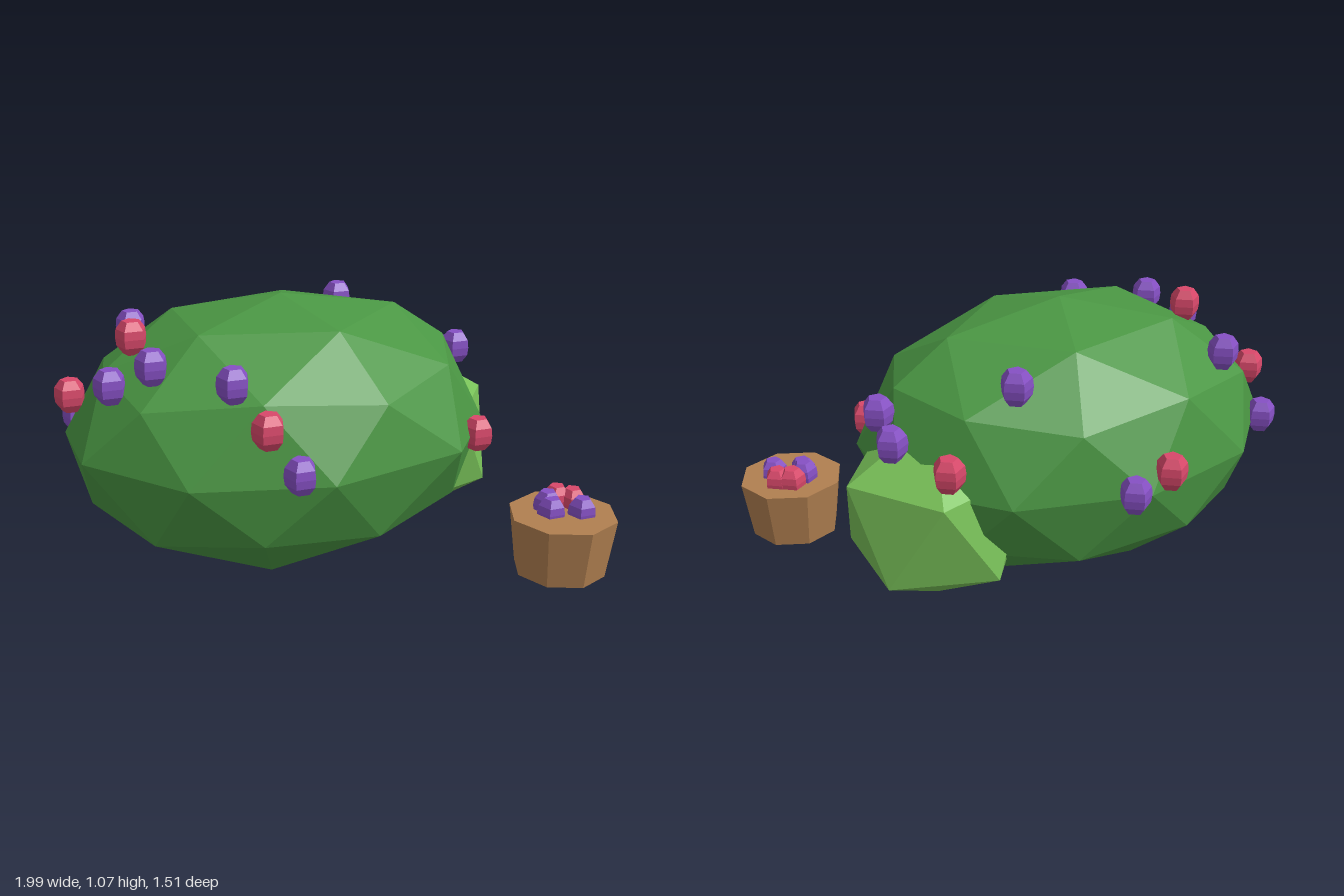
import * as THREE from 'three';

const mat = (name, color) => {
  const m = new THREE.MeshStandardMaterial({ color });
  m.name = name;
  return m;
};

// Faceted normals, one per face
function facet(geometry) {
  const g = geometry.index ? geometry.toNonIndexed() : geometry;
  g.computeVertexNormals();
  return g;
}

// Icosphere standing on a vertex, with an upper-ring vertex towards +x
function icoBlob(detail, radii, centre) {
  const g = new THREE.IcosahedronGeometry(1, detail);
  g.rotateX(-Math.atan2(1 + Math.sqrt(5), 2));
  g.rotateY(Math.PI / 2);
  g.scale(...radii);
  g.translate(...centre);
  return g;
}

// Move the corner nearest to each target onto that target
function nudge(g, targets) {
  const p = g.attributes.position;
  const v = new THREE.Vector3();
  for (const t of targets) {
    const target = new THREE.Vector3(...t);
    const dist = Array.from({ length: p.count }, (_, i) => v.fromBufferAttribute(p, i).distanceTo(target));
    const near = v.fromBufferAttribute(p, dist.indexOf(Math.min(...dist))).clone();
    for (let i = 0; i < p.count; i++) {
      if (v.fromBufferAttribute(p, i).distanceTo(near) < 1e-4) p.setXYZ(i, ...t);
    }
  }
  return g;
}

export function createModel() {
  const model = new THREE.Group();
  model.name = 'berryBush';
  const green = mat('leafGreen', 0x4a9643);
  const lime = mat('lightLeafGreen', 0x78c058);
  const brown = mat('basketBrown', 0xb07f50);
  const purple = mat('berryPurple', 0x8650c4);
  const red = mat('berryRed', 0xd8486a);

  const add = (name, geometry, material, parent = model) => {
    const mesh = new THREE.Mesh(geometry, material);
    mesh.name = name;
    parent.add(mesh);
    return mesh;
  };

  // Large bush, slightly uneven
  const bush = nudge(icoBlob(1, [0.83, 0.53, 0.655], [-0.175, 0.54, -0.035]), [
    [-0.16, 1.07, -0.02], [-0.19, 0.01, -0.07], [0.31, 0.99, -0.03],
    [0.53, 0.84, -0.04], [0.24, 0.12, 0.17], [0.53, 0.3, -0.03],
    [-0.57, 0.11, -0.03], [-0.91, 0.32, -0.03], [-0.84, 0.83, -0.03],
    [-0.97, 0.57, 0.19], [0.36, 0.55, 0.5],
  ]);
  add('largeBush', facet(bush), green);

  // Small bush tucked in at the side
  add('smallBush', facet(icoBlob(0, [0.38, 0.38, 0.38], [0.43, 0.384, -0.16])), lime);

  // Five-sided berry
  const profile = [[0, -0.062], [0.034, -0.062], [0.057, -0.031], [0.061, 0],
    [0.057, 0.031], [0.034, 0.062], [0, 0.062]].map(([r, y]) => new THREE.Vector2(r, y));
  const berry = facet(new THREE.LatheGeometry(profile, 5, Math.PI));

  const scatter = (name, material, spots, scale = 1) => {
    const group = new THREE.Group();
    group.name = name;
    for (const s of spots) {
      const mesh = add('berry', berry, material, group);
      mesh.position.set(...s);
      mesh.scale.setScalar(scale);
    }
    model.add(group);
  };

  // Berries on the bush
  scatter('redBerries', red, [
    [-0.39, 0.745, 0.54], [0.505, 0.55, 0.345], [0.49, 0.665, -0.43],
    [-0.25, 0.62, -0.69], [-0.94, 0.7, -0.2], [-0.725, 0.95, -0.035],
  ]);
  scatter('purpleBerries', purple, [
    [-0.475, 0.88, 0.42], [-0.295, 0.59, 0.595], [0.605, 0.77, -0.07],
    [0.612, 0.71, -0.21], [0.22, 0.93, -0.41], [-0.1, 0.565, -0.695],
    [-0.845, 0.83, 0.14], [-0.71, 0.91, 0.22], [-0.895, 0.56, -0.36], [-0.655, 0.89, -0.4],
  ]);

  // Filled basket
  const basket = add('basket', facet(new THREE.CylinderGeometry(0.21, 0.178, 0.235, 8)), brown);
  basket.position.set(0.78, 0.1425, 0.545);
  scatter('basketRedBerries', red, [[0.8, 0.28, 0.46], [0.85, 0.275, 0.495]], 0.9);
  scatter('basketPurpleBerries', purple, [[0.74, 0.28, 0.495], [0.732, 0.27, 0.54], [0.84, 0.272, 0.582]], 0.9);

  return model;
}
